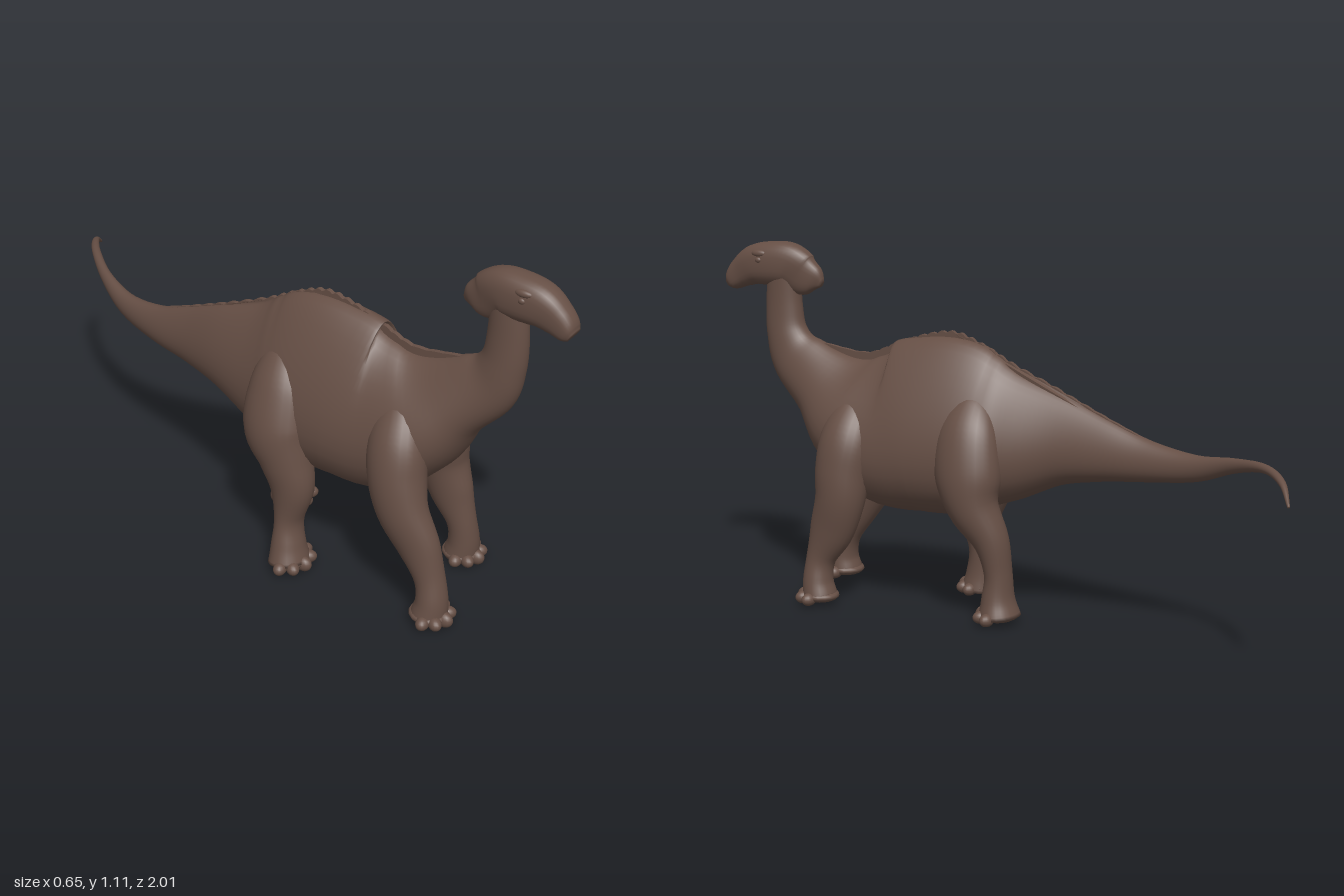
import * as THREE from 'three';

const MID = -0.07; // x of the body's centre line

// Smooth skin over oval sections. Row: [z, y, x, half depth, half width, taper of the upper side]
function loft(rows, steps, sides, power = 1) {
  const path = new THREE.CatmullRomCurve3(rows.map(r => new THREE.Vector3(r[2], r[1], r[0])), false, 'catmullrom', 0.5);
  const size = new THREE.CatmullRomCurve3(rows.map(r => new THREE.Vector3(r[3], r[4], r[5] || 0)), false, 'catmullrom', 0.5);
  const pos = [], index = [];
  const bend = v => Math.sign(v) * Math.pow(Math.abs(v), power);
  for (let i = 0; i <= steps; i++) {
    const c = path.getPoint(i / steps), s = size.getPoint(i / steps), t = path.getTangent(i / steps);
    const side = new THREE.Vector3(1, 0, 0).addScaledVector(t, -t.x).normalize();
    const up = new THREE.Vector3().crossVectors(side, t);
    for (let j = 0; j < sides; j++) {
      const a = j / sides * Math.PI * 2, u = bend(Math.cos(a)), w = bend(Math.sin(a));
      const p = c.clone().addScaledVector(up, s.x * u).addScaledVector(side, s.y * w * (1 - s.z * u));
      pos.push(p.x, p.y, p.z);
    }
  }
  for (let i = 0; i < steps; i++) for (let j = 0; j < sides; j++) {
    const k = (j + 1) % sides, a = i * sides + j, b = i * sides + k;
    index.push(a, b, a + sides, b, b + sides, a + sides);
  }
  // end caps
  const first = pos.length / 3, last = steps * sides;
  const p0 = path.getPoint(0), p1 = path.getPoint(1);
  pos.push(p0.x, p0.y, p0.z, p1.x, p1.y, p1.z);
  for (let j = 0; j < sides; j++) {
    const k = (j + 1) % sides;
    index.push(first, k, j, first + 1, last + j, last + k);
  }
  const g = new THREE.BufferGeometry();
  g.setAttribute('position', new THREE.Float32BufferAttribute(pos, 3));
  g.setIndex(index);
  g.computeVertexNormals();
  return g;
}

export function createModel() {
  const model = new THREE.Group();
  const skin = new THREE.MeshStandardMaterial({ color: 0x664f45 });
  skin.name = 'brown skin';
  const add = (name, geometry, parent = model) => {
    const m = new THREE.Mesh(geometry, skin);
    m.name = name;
    parent.add(m);
    return m;
  };
  const ball = (name, x, y, z, sx, sy, sz, parent) => {
    const m = add(name, new THREE.SphereGeometry(1, 16, 12), parent);
    m.position.set(x, y, z);
    m.scale.set(sx, sy, sz);
    return m;
  };

  // neck, trunk and tail in one skin
  add('body', loft([
    [0.80, 1.03, MID, 0.055, 0.042, 0],
    [0.803, 0.91, MID, 0.062, 0.045, 0],
    [0.792, 0.82, MID, 0.07, 0.052, 0.05],
    [0.75, 0.745, MID, 0.095, 0.064, 0.15],
    [0.65, 0.67, MID, 0.122, 0.10, 0.3],
    [0.545, 0.60, MID, 0.19, 0.145, 0.4],
    [0.42, 0.56, MID, 0.253, 0.16, 0.4],
    [0.30, 0.57, MID, 0.272, 0.165, 0.4],
    [0.18, 0.575, MID, 0.272, 0.16, 0.4],
    [0.08, 0.565, MID, 0.242, 0.15, 0.4],
    [0.0, 0.56, MID, 0.205, 0.125, 0.35],
    [-0.15, 0.56, -0.068, 0.144, 0.085, 0.3],
    [-0.30, 0.545, -0.053, 0.098, 0.06, 0.25],
    [-0.45, 0.528, -0.035, 0.063, 0.045, 0.15],
    [-0.61, 0.528, 0.0, 0.04, 0.03, 0],
    [-0.75, 0.56, 0.06, 0.022, 0.018, 0],
    [-0.87, 0.58, 0.15, 0.013, 0.014, 0],
    [-0.95, 0.565, 0.24, 0.01, 0.011, 0],
    [-0.995, 0.518, 0.315, 0.004, 0.004, 0],
  ], 110, 36));

  // head running back into the crest
  add('head', loft([
    [1.0, 0.973, MID, 0.018, 0.026],
    [0.985, 0.983, MID, 0.034, 0.036],
    [0.95, 1.01, MID, 0.05, 0.042],
    [0.90, 1.035, MID, 0.064, 0.051],
    [0.84, 1.042, MID, 0.069, 0.054],
    [0.78, 1.04, MID, 0.069, 0.049],
    [0.73, 1.01, MID, 0.066, 0.035],
    [0.69, 0.997, MID, 0.043, 0.025],
    [0.665, 0.985, MID, 0.012, 0.01],
  ], 48, 28, 0.8));
  for (const s of [-1, 1]) {
    ball('brow', MID + s * 0.043, 1.075, 0.865, 0.012, 0.012, 0.028);
    ball('eye', MID + s * 0.051, 1.055, 0.865, 0.007, 0.009, 0.011);
  }

  // serrated ridge along the spine
  const spine = new THREE.CatmullRomCurve3([
    [0.66, 0.80], [0.5, 0.777], [0.4, 0.808], [0.3, 0.838], [0.2, 0.85], [0.1, 0.815],
    [0, 0.765], [-0.15, 0.703], [-0.3, 0.643], [-0.45, 0.588],
  ].map(([z, y]) => new THREE.Vector3(z, y, 0)));
  const outline = new THREE.Shape(), N = 160;
  for (let i = 0; i <= N; i++) {
    const p = spine.getPoint(i / N);
    const fade = Math.sin(Math.PI * i / N);
    const y = p.y + fade * (0.008 + 0.009 * Math.abs(Math.sin(i * 0.52)));
    i ? outline.lineTo(p.x, y) : outline.moveTo(p.x, y);
  }
  for (let i = N; i >= 0; i -= 4) {
    const p = spine.getPoint(i / N);
    outline.lineTo(p.x, p.y - 0.025);
  }
  const ridge = new THREE.ExtrudeGeometry(outline, { depth: 0.014, bevelEnabled: false });
  ridge.translate(0, 0, -0.007);
  ridge.rotateY(-Math.PI / 2);
  const rp = ridge.attributes.position;
  for (let i = 0; i < rp.count; i++) {
    const back = Math.max(0, -0.12 - rp.getZ(i)); // follow the bend of the tail
    rp.setX(i, rp.getX(i) + MID + back * 0.1);
  }
  ridge.computeVertexNormals();
  add('spineRidge', ridge);

  // legs: sections from hip or shoulder to sole, then pad and toes
  const leg = (name, rows, width) => {
    const g = new THREE.Group();
    g.name = name;
    model.add(g);
    add('limb', loft(rows, 44, 26), g);
    const [z, , x] = rows[rows.length - 1];
    ball('footPad', x, 0.032, z, width * 0.85, 0.022, 0.06, g);
    for (let i = -2; i <= 2; i++) {
      const a = i * 0.68;
      const toe = ball('toe', x + Math.sin(a) * (width - 0.018), 0.027, z + Math.cos(a) * 0.052,
        0.02, i ? 0.02 : 0.024, 0.027, g);
      toe.rotation.y = a;
    }
  };
  leg('leftFrontLeg', [
    [0.48, 0.66, -0.02, 0.04, 0.03],
    [0.50, 0.60, 0.015, 0.075, 0.06],
    [0.51, 0.52, 0.05, 0.09, 0.078],
    [0.52, 0.43, 0.068, 0.088, 0.078],
    [0.525, 0.34, 0.08, 0.08, 0.068],
    [0.555, 0.24, 0.082, 0.072, 0.054],
    [0.592, 0.15, 0.085, 0.047, 0.045],
    [0.60, 0.08, 0.092, 0.047, 0.05],
    [0.592, 0.025, 0.095, 0.055, 0.058],
  ], 0.07);
  leg('rightFrontLeg', [
    [0.50, 0.66, -0.12, 0.04, 0.03],
    [0.52, 0.60, -0.155, 0.075, 0.06],
    [0.535, 0.52, -0.19, 0.09, 0.078],
    [0.55, 0.43, -0.21, 0.088, 0.08],
    [0.58, 0.34, -0.224, 0.08, 0.067],
    [0.635, 0.24, -0.22, 0.068, 0.053],
    [0.675, 0.15, -0.22, 0.047, 0.046],
    [0.69, 0.08, -0.225, 0.047, 0.05],
    [0.685, 0.025, -0.228, 0.055, 0.058],
  ], 0.072);
  leg('leftHindLeg', [
    [0.09, 0.69, -0.02, 0.04, 0.03],
    [0.10, 0.64, 0.01, 0.075, 0.055],
    [0.10, 0.56, 0.042, 0.10, 0.075],
    [0.09, 0.45, 0.06, 0.105, 0.085],
    [0.07, 0.36, 0.068, 0.08, 0.075],
    [0.015, 0.26, 0.06, 0.055, 0.057],
    [-0.005, 0.16, 0.052, 0.042, 0.05],
    [-0.004, 0.08, 0.05, 0.05, 0.058],
    [-0.008, 0.025, 0.05, 0.064, 0.074],
  ], 0.085);
  leg('rightHindLeg', [
    [0.10, 0.69, -0.12, 0.04, 0.03],
    [0.11, 0.64, -0.15, 0.075, 0.055],
    [0.12, 0.56, -0.185, 0.10, 0.075],
    [0.13, 0.45, -0.21, 0.108, 0.088],
    [0.165, 0.36, -0.216, 0.085, 0.077],
    [0.19, 0.27, -0.22, 0.07, 0.06],
    [0.183, 0.16, -0.225, 0.043, 0.05],
    [0.188, 0.08, -0.235, 0.05, 0.058],
    [0.195, 0.025, -0.24, 0.06, 0.072],
  ], 0.082);

  return model;
}
